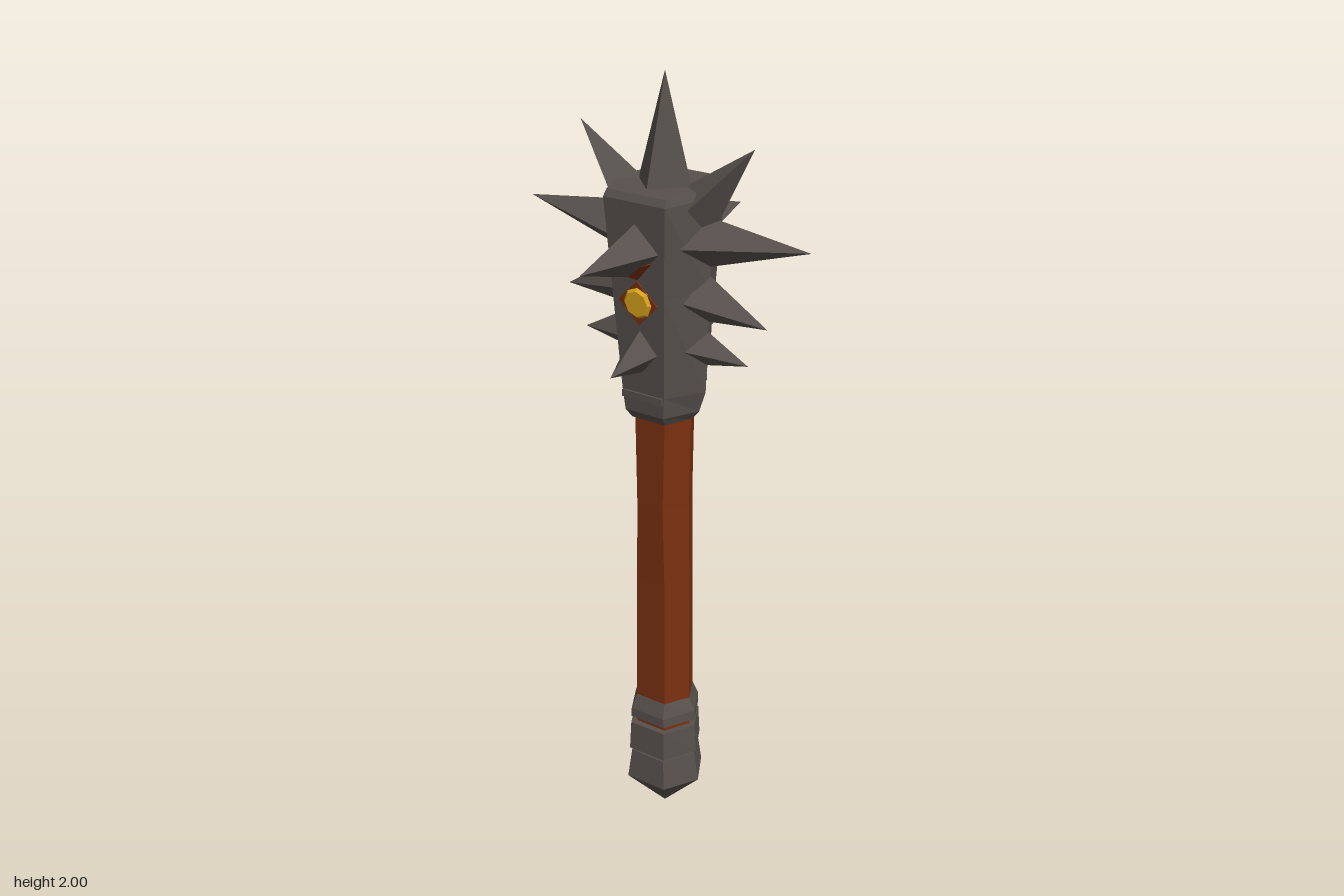
import * as THREE from 'three';

const flat = (name, color) => {
  const m = new THREE.MeshStandardMaterial({ color, flatShading: true });
  m.name = name;
  return m;
};

// Six-sided loft; each ring is [y, side ridge x, front face half width, front face z]
function hexLoft(rings) {
  const pts = rings.map(([y, a, f, z]) =>
    [[a, 0], [f, z], [-f, z], [-a, 0], [-f, -z], [f, -z]].map(([x, w]) => [x, y, w]));
  const out = [];
  const low = [0, rings[0][0], 0];
  const high = [0, rings[rings.length - 1][0], 0];
  for (let i = 0; i < 6; i++) {
    const j = (i + 1) % 6;
    for (let k = 0; k < pts.length - 1; k++) {
      const b = pts[k], t = pts[k + 1];
      out.push(b[i], t[i], t[j], b[i], t[j], b[j]);
    }
    const last = pts[pts.length - 1];
    out.push(low, pts[0][i], pts[0][j], high, last[j], last[i]);
  }
  const g = new THREE.BufferGeometry();
  g.setAttribute('position', new THREE.Float32BufferAttribute(out.flat(), 3));
  g.computeVertexNormals();
  return g;
}

export function createModel() {
  const model = new THREE.Group();
  model.name = 'spikedMace';
  const iron = flat('darkIron', 0x57504c);
  const wood = flat('redBrownWood', 0x7a3010);
  const gold = flat('goldGem', 0xd9a41c);

  const add = (name, geo, mat, parent = model) => {
    const m = new THREE.Mesh(geo, mat);
    m.name = name;
    parent.add(m);
    return m;
  };

  // Four-sided spike from base point to tip, with its two half widths
  const spike = (name, base, tip, rx, rz, mat = iron) => {
    const a = new THREE.Vector3(...base), b = new THREE.Vector3(...tip);
    const dir = b.clone().sub(a);
    const m = add(name, new THREE.ConeGeometry(1, 1, 4), mat);
    m.scale.set(rx, dir.length(), rz);
    m.position.copy(a).add(b).multiplyScalar(0.5);
    m.quaternion.setFromUnitVectors(new THREE.Vector3(0, 1, 0), dir.normalize());
  };

  // Handle
  add('handle', hexLoft([
    [0.15, 0.078, 0.045, 0.066], [0.72, 0.075, 0.042, 0.064],
    [0.93, 0.072, 0.038, 0.066], [1.2, 0.077, 0.044, 0.064]]), wood);

  // Pommel point and the two bands above it
  add('pommel', hexLoft([
    [0.003, 0.002, 0.001, 0.002], [0.11, 0.107, 0.058, 0.09], [0.192, 0.094, 0.05, 0.082]]), iron);
  add('pommelBand', hexLoft([
    [0.2, 0.1, 0.054, 0.086], [0.28, 0.094, 0.052, 0.082]]), iron);
  add('gripBand', hexLoft([
    [0.3, 0.095, 0.052, 0.082], [0.325, 0.094, 0.05, 0.082], [0.362, 0.076, 0.044, 0.067]]), iron);

  // Head
  add('head', hexLoft([
    [1.165, 0.08, 0.048, 0.07], [1.19, 0.1, 0.055, 0.088], [1.245, 0.118, 0.06, 0.092],
    [1.5, 0.128, 0.073, 0.11], [1.725, 0.128, 0.085, 0.125], [1.742, 0.12, 0.082, 0.115]]), iron);

  // Spikes around the head
  spike('topSpike', [0, 1.72, 0], [0, 2, 0], 0.08, 0.08);
  for (const s of [-1, 1]) {
    spike('shoulderSpike', [s * 0.085, 1.685, 0], [s * 0.24, 1.855, 0], 0.065, 0.075);
    spike('longSideSpike', [s * 0.1, 1.62, 0], [s * 0.393, 1.645, 0], 0.065, 0.083);
    spike('middleSideSpike', [s * 0.1, 1.485, 0], [s * 0.285, 1.44, 0], 0.064, 0.07);
    spike('lowerSideSpike', [s * 0.095, 1.36, 0], [s * 0.235, 1.338, 0], 0.052, 0.055);
    spike('longFaceSpike', [0, 1.61, s * 0.1], [0, 1.61, s * 0.33], 0.068, 0.07);
    spike('spikeUnderside', [0, 1.585, s * 0.1], [0, 1.58, s * 0.2], 0.05, 0.056, wood);
    spike('lowerFaceSpike', [0, 1.355, s * 0.09], [0, 1.33, s * 0.222], 0.05, 0.058);
  }

  // Gem on a wooden plate, following the slope of the front and back faces
  for (const back of [false, true]) {
    const side = new THREE.Group();
    side.name = back ? 'backInlay' : 'frontInlay';
    side.rotation.y = back ? Math.PI : 0;
    model.add(side);
    const face = new THREE.Group();
    face.name = 'inlayFace';
    face.position.set(0, 1.48, 0.1085);
    face.rotation.x = 0.068;
    side.add(face);
    if (back) {
      add('woodPlate', new THREE.BoxGeometry(0.13, 0.25, 0.006), wood, face).position.y = -0.015;
    } else {
      const plate = add('woodPlate', new THREE.CylinderGeometry(0.055, 0.055, 0.006, 4), wood, face);
      plate.rotation.x = Math.PI / 2;
    }
    const gem = add('gem', new THREE.CylinderGeometry(0.032, 0.04, 0.009, 8), gold, face);
    gem.rotation.x = Math.PI / 2;
    gem.position.z = 0.006;

    // Small strap low on the face
    add('strap', new THREE.BoxGeometry(0.115, 0.018, 0.012), iron, side).position.set(0, 1.236, 0.092);
  }

  return model;
}
